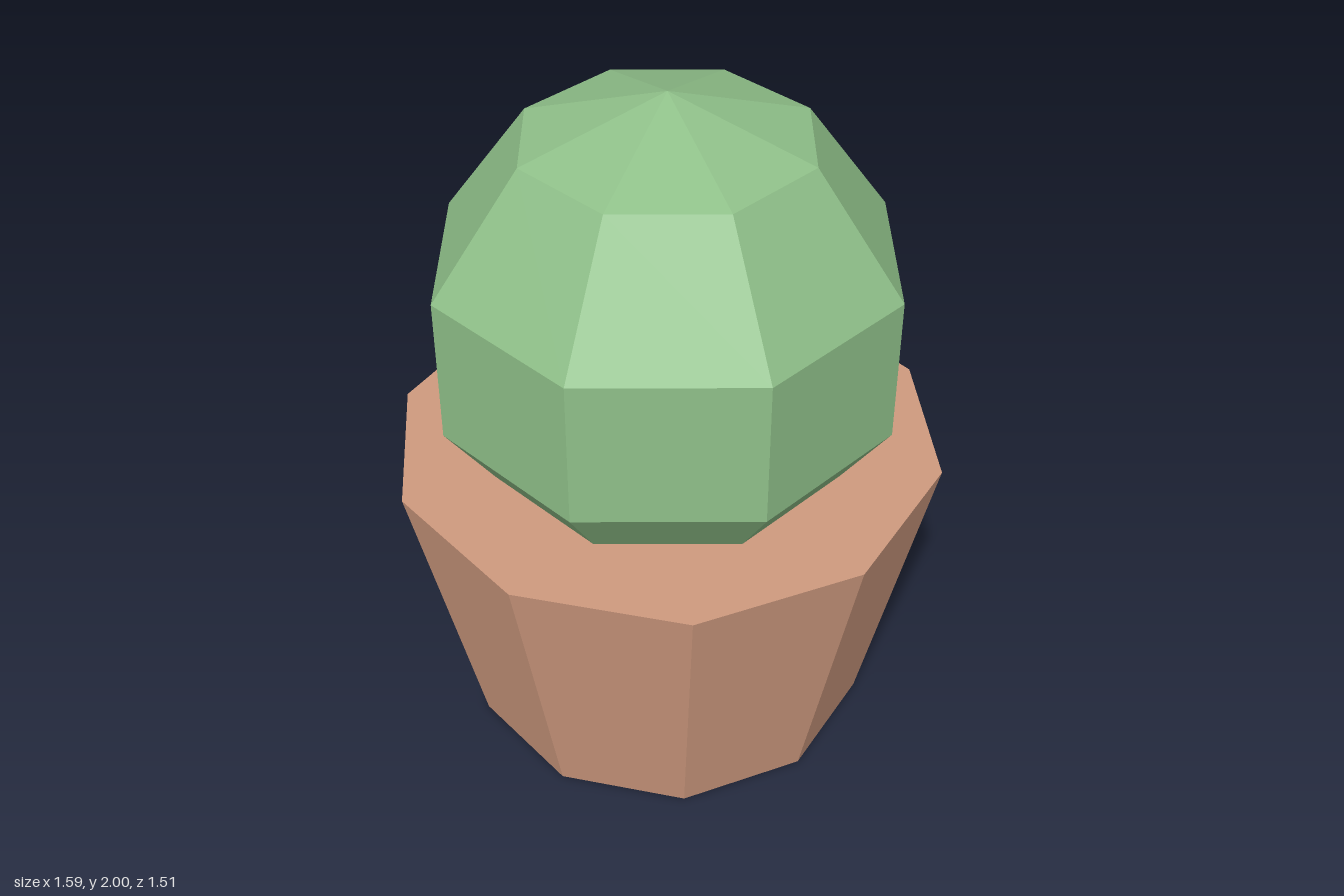
import * as THREE from 'three';

export function createModel() {
  const model = new THREE.Group();
  model.name = 'pottedCactus';

  const terracotta = new THREE.MeshStandardMaterial({ color: 0xcf9a7f, flatShading: true });
  terracotta.name = 'terracotta';
  const cactusGreen = new THREE.MeshStandardMaterial({ color: 0x8fc089, flatShading: true });
  cactusGreen.name = 'cactusGreen';

  // Ten-sided tapered pot with a corner on each side
  const pot = new THREE.Mesh(
    new THREE.CylinderGeometry(0.795, 0.6, 0.9, 10, 1, false, Math.PI / 2),
    terracotta
  );
  pot.name = 'pot';
  pot.position.y = 0.45;
  model.add(pot);

  // Faceted round cactus, its base sunk into the pot
  const cactus = new THREE.Mesh(new THREE.SphereGeometry(0.695, 8, 5), cactusGreen);
  cactus.name = 'cactus';
  cactus.position.y = 1.305;
  model.add(cactus);

  return model;
}
